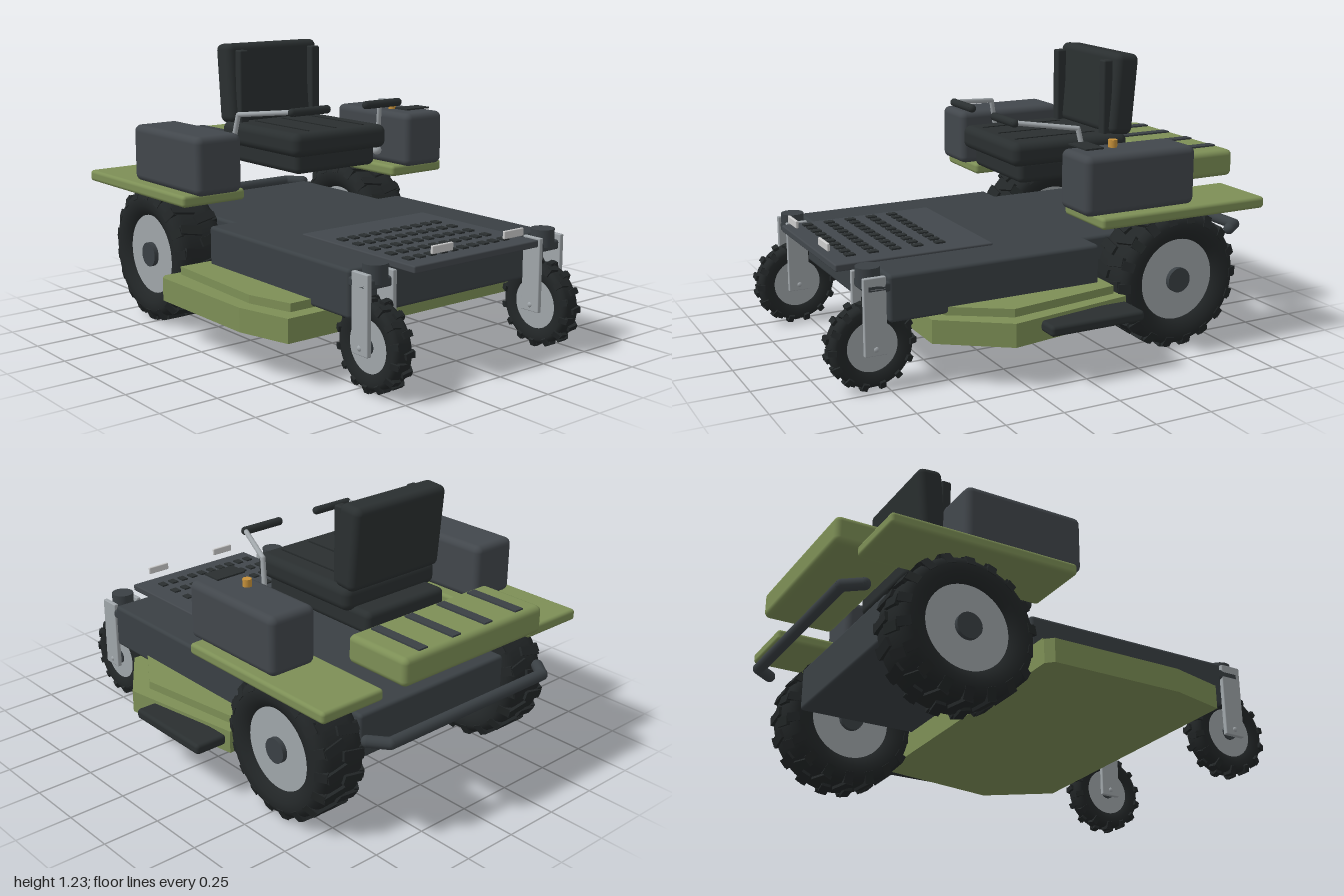
import * as THREE from 'three';
import { RoundedBoxGeometry } from 'three/addons/geometries/RoundedBoxGeometry.js';

const mat = (color, extra = {}) => {
  const m = new THREE.MeshStandardMaterial(extra);
  m.color.set(color);
  return m;
};
const GREEN = mat(0x7d8f56), FRAME = mat(0x3a4044), POD = mat(0x42474c), DARK = mat(0x2a2f30);
const TIRE = mat(0x222627), METAL = mat(0xa0a6aa), PALE = mat(0xcccccc), AMBER = mat(0xc8923a);
const CX = -0.03; // centre line; the side chute shifts the body off x = 0

export function createModel() {
  const root = new THREE.Group();

  const add = (name, geo, material, parent = root) => {
    const mesh = new THREE.Mesh(geo, material);
    mesh.name = name;
    parent.add(mesh);
    return mesh;
  };
  // Box given by its extents, with optional rounded edges
  const box = (name, [x0, x1], [y0, y1], [z0, z1], material, r = 0, parent = root) => {
    const s = [x1 - x0, y1 - y0, z1 - z0];
    const geo = r ? new RoundedBoxGeometry(...s, 3, r) : new THREE.BoxGeometry(...s);
    const mesh = add(name, geo, material, parent);
    mesh.position.set((x0 + x1) / 2, (y0 + y1) / 2, (z0 + z1) / 2);
    return mesh;
  };
  // Extents mirrored about the centre line
  const side = (s, a, b) => [CX + s * a, CX + s * b].sort((p, q) => p - q);
  // Straight-segment rod through points
  const rod = (name, points, r, material, parent = root) => {
    const path = new THREE.CurvePath();
    const v = points.map(p => new THREE.Vector3(...p));
    for (let i = 1; i < v.length; i++) {
      path.add(new THREE.LineCurve3(v[i - 1], v[i]));
      const len = v[i].distanceTo(v[i - 1]);
      const bar = add(name, new THREE.CylinderGeometry(r, r, len, 14), material, parent);
      bar.position.copy(v[i]).add(v[i - 1]).multiplyScalar(0.5);
      bar.quaternion.setFromUnitVectors(new THREE.Vector3(0, 1, 0), v[i].clone().sub(v[i - 1]).normalize());
    }
    for (const p of v) add(name + 'Joint', new THREE.SphereGeometry(r, 14, 10), material, parent).position.copy(p);
  };

  // Wheel with rounded tyre, staggered lugs, rim disc and hub; axle along x
  const wheel = (name, x, y, z, R, w, rimR, lugs) => {
    const g = new THREE.Group();
    g.name = name;
    g.position.set(x, y, z);
    const h = R - rimR, T = R - 0.012;
    const half = [[rimR, 0.72], [rimR + h * 0.1, 0.86], [rimR + h * 0.35, 0.99], [rimR + h * 0.6, 1],
      [T - h * 0.14, 0.92], [T - h * 0.03, 0.76], [T, 0.5]];
    const profile = [...half.map(([r, a]) => [r, -a]), ...half.reverse()]
      .map(([r, a]) => new THREE.Vector2(r, a * w));
    add('tire', new THREE.LatheGeometry(profile, 48), TIRE, g).rotation.z = -Math.PI / 2;
    add('rim', new THREE.CylinderGeometry(rimR + 0.003, rimR + 0.003, w * 1.5, 40), METAL, g).rotation.z = Math.PI / 2;
    add('hub', new THREE.CylinderGeometry(rimR * 0.31, rimR * 0.31, w * 1.85, 24), FRAME, g).rotation.z = Math.PI / 2;
    for (let i = 0; i < lugs; i++) {
      const s = i % 2 ? 1 : -1;
      const spoke = new THREE.Group();
      spoke.rotation.x = (i / lugs) * Math.PI * 2;
      const tread = add('lug', new THREE.BoxGeometry(w * 0.85, 0.03, R * 0.13), TIRE, spoke);
      tread.position.set(s * w * 0.36, R - 0.015, 0);
      tread.rotation.y = s * 0.2;
      const shoulder = add('shoulderLug', new THREE.BoxGeometry(0.02, h * 0.42, R * 0.13), TIRE, spoke);
      shoulder.position.set(s * w * 0.85, R - h * 0.24, 0);
      shoulder.rotation.z = s * 0.45;
      g.add(spoke);
    }
    root.add(g);
  };

  // Frame: wide front section, narrow between the drive wheels
  box('frontFrame', [-0.57, 0.51], [0.28, 0.475], [-0.2, 0.755], FRAME, 0.015);
  box('rearFrame', [-0.45, 0.39], [0.28, 0.475], [-0.785, -0.15], FRAME, 0.015);

  // Cutting deck in two tiers
  const slab = (name, outline, y, h) => {
    const shape = new THREE.Shape(outline.map(([x, z]) => new THREE.Vector2(x, -z)));
    const geo = new THREE.ExtrudeGeometry(shape, { depth: h, bevelEnabled: false });
    add(name, geo.rotateX(-Math.PI / 2), GREEN).position.y = y;
  };
  slab('cuttingDeck', [[-0.73, 0.585], [0.53, 0.585], [0.725, 0.31], [0.63, -0.26], [-0.76, -0.26], [-0.79, -0.23], [-0.79, 0.345]], 0.175, 0.1);
  slab('deckTop', [[-0.67, 0.52], [0.5, 0.52], [0.655, 0.28], [0.58, -0.23], [-0.7, -0.23], [-0.725, 0.32]], 0.27, 0.04);
  box('dischargeChute', [0.64, 0.79], [0.215, 0.26], [-0.25, 0.185], DARK, 0.015);

  // Foot plate with grip pads
  box('footPlate', [-0.37, 0.31], [0.455, 0.485], [0.2, 0.9], POD, 0.006);
  for (let r = 0; r < 5; r++) for (let c = 0; c < 10; c++) {
    const x = -0.313 + c * 0.0575, z = 0.4 + r * 0.1;
    box('gripPad', [x - 0.016, x + 0.016], [0.48, 0.492], [z - 0.021, z + 0.021], DARK);
  }

  for (const s of [-1, 1]) {
    const X = d => CX + s * d;
    // Wheels
    wheel('rearWheel', X(0.54), 0.3, -0.535, 0.303, 0.12, 0.175, 36);
    wheel('frontWheel', X(0.46), 0.182, 0.812, 0.185, 0.046, 0.105, 28);

    // Caster fork
    box('forkOuterPlate', side(s, 0.517, 0.538), [0.155, 0.475], [0.765, 0.86], METAL, 0.004);
    box('forkInnerPlate', side(s, 0.392, 0.412), [0.155, 0.475], [0.765, 0.86], METAL, 0.004);
    box('forkCrown', side(s, 0.392, 0.538), [0.41, 0.45], [0.74, 0.85], FRAME, 0.01);
    add('forkCap', new THREE.CylinderGeometry(0.05, 0.05, 0.075, 24), FRAME).position.set(X(0.46), 0.466, 0.812);
    rod('frontAxle', [[X(0.4), 0.182, 0.812], [X(0.53), 0.182, 0.812]], 0.014, METAL);

    // Fender and side pod
    box('fender', side(s, 0.42, 0.73), [0.593, 0.643], [-0.91, -0.097], GREEN, 0.015);
    box('sidePod', side(s, 0.465, 0.688), [0.64, 0.89], [-0.575, -0.045], POD, 0.03);

    // Pedal
    const pedal = side(s, 0.14, 0.25);
    box('pedal', pedal, [0.517, 0.55], [0.887, 0.9], PALE, 0.004);

    // Steering lever
    const lever = new THREE.Group();
    lever.name = 'steeringLever';
    root.add(lever);
    rod('leverRod', [[X(0.425), 0.7, -0.22], [X(0.4), 0.95, -0.17], [X(0.295), 0.977, 0.075]], 0.011, METAL, lever);
    add('leverPivot', new THREE.SphereGeometry(0.022, 16, 12), METAL, lever).position.set(X(0.425), 0.705, -0.22);
    rod('leverGrip', [[X(0.295), 0.975, 0.075], [X(0.11), 0.975, 0.075]], 0.018, DARK, lever);

    // Seat back bolster
    box('seatBolster', side(s, 0.18, 0.225), [0.86, 1.2], [-0.45, -0.405], DARK, 0.008);
  }

  // Pod controls
  add('throttleKnob', new THREE.CylinderGeometry(0.019, 0.019, 0.04, 20), AMBER).position.set(0.517, 0.902, -0.25);
  box('controlPanel', [0.455, 0.595], [0.904, 0.911], [-0.16, -0.075], DARK);

  // Seat
  box('seatBase', [-0.25, 0.19], [0.69, 0.79], [-0.612, 0.01], DARK, 0.025);
  box('seatCushion', [-0.29, 0.225], [0.77, 0.875], [-0.52, 0.055], DARK, 0.035);
  for (const x of [-0.18, CX, 0.125]) box('seatSeam', [x - 0.004, x + 0.004], [0.87, 0.878], [-0.4, 0], TIRE);
  const back = box('seatBack', [-0.282, 0.222], [0.865, 1.225], [-0.56, -0.445], DARK, 0.03);
  back.rotation.x = -0.085;

  // Rear hood with slats
  box('rearHood', [-0.425, 0.365], [0.66, 0.78], [-0.992, -0.675], GREEN, 0.025);
  for (let i = 0; i < 4; i++) {
    const x = -0.307 + i * 0.1835;
    box('hoodSlat', [x - 0.023, x + 0.023], [0.77, 0.787], [-0.965, -0.705], FRAME);
  }

  // Rear bumper bar
  rod('rearBumper', [[-0.53, 0.445, -0.905], [-0.475, 0.445, -0.975], [0.415, 0.445, -0.975], [0.47, 0.445, -0.905]], 0.025, FRAME);

  return root;
}
